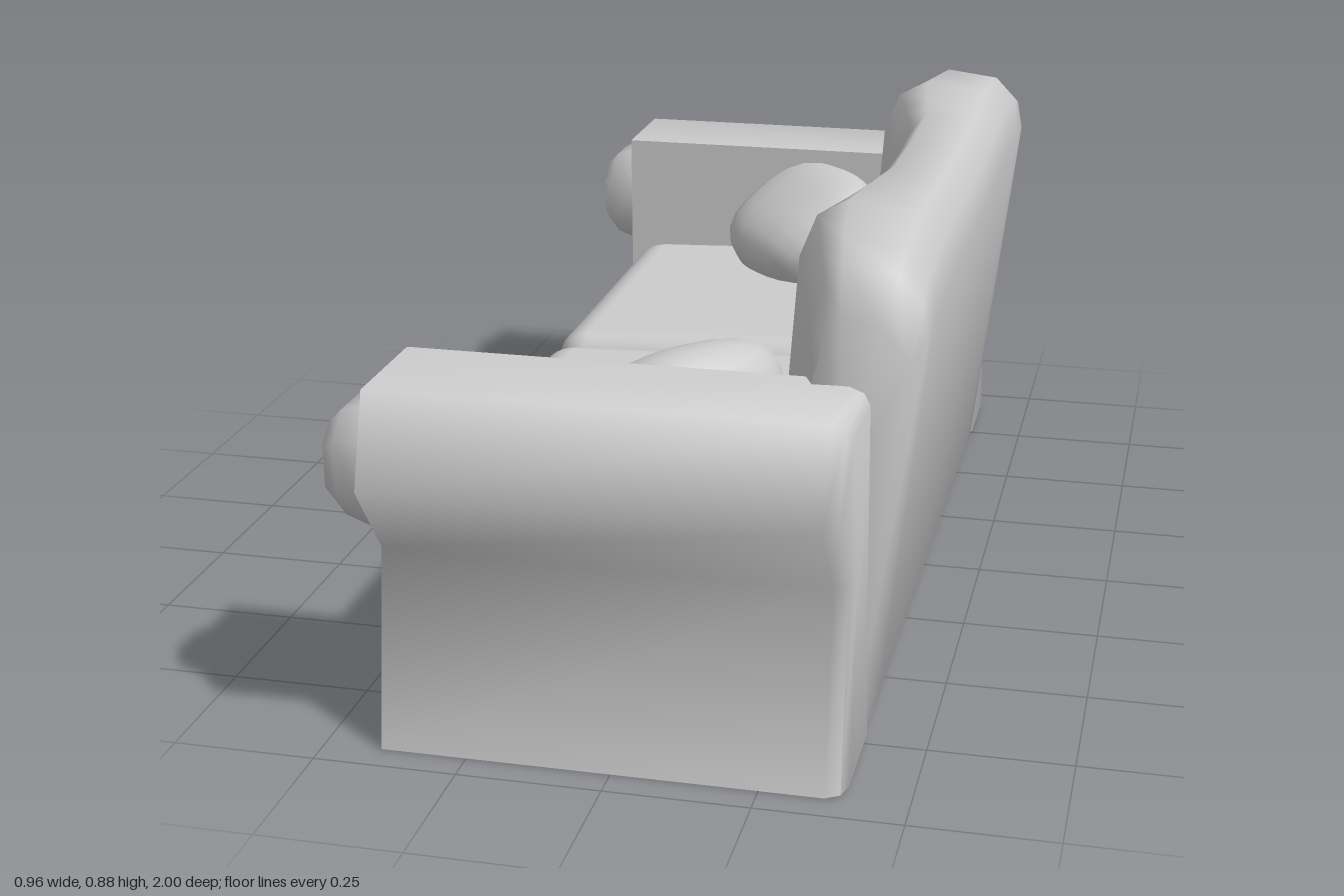
import * as THREE from 'three';
import { toCreasedNormals } from 'three/addons/utils/BufferGeometryUtils.js';
import { RoundedBoxGeometry } from 'three/addons/geometries/RoundedBoxGeometry.js';

const material = new THREE.MeshStandardMaterial({ color: 0xcccccc });

function addPart(parent, name, geometry) {
  const mesh = new THREE.Mesh(geometry, material);
  mesh.name = name;
  parent.add(mesh);
  return mesh;
}

// Skin a row of equal-length closed rings of [x, y, z], with fan caps at both ends
function loft(rings, crease) {
  const n = rings[0].length;
  const points = rings.flat();
  const faces = [];
  for (let r = 0; r < rings.length - 1; r++) {
    for (let i = 0; i < n; i++) {
      const a = r * n + i, b = r * n + (i + 1) % n;
      faces.push([a, b, b + n], [a, b + n, a + n]);
    }
  }
  [0, rings.length - 1].forEach((r) => {
    const centre = [0, 1, 2].map((k) => rings[r].reduce((s, p) => s + p[k], 0) / n);
    const c = points.push(centre) - 1;
    for (let i = 0; i < n; i++) {
      const a = r * n + i, b = r * n + (i + 1) % n;
      faces.push(r === 0 ? [c, b, a] : [c, a, b]);
    }
  });
  // The sign of the volume tells whether the faces point outwards
  const v = points.map((p) => new THREE.Vector3(...p));
  let volume = 0;
  for (const [a, b, c] of faces) volume += v[a].dot(v[b].clone().cross(v[c]));
  if (volume < 0) faces.forEach((f) => f.reverse());
  const geometry = new THREE.BufferGeometry();
  geometry.setAttribute('position', new THREE.Float32BufferAttribute(points.flat(), 3));
  geometry.setIndex(faces.flat());
  return toCreasedNormals(geometry, crease);
}

// Flared arm: a z, y profile run from front to back with a softened rear
function armGeometry(side) {
  const profile = [[0.735, 0], [0.945, 0], [0.895, 0.35], [1, 0.49], [0.95, 0.648], [0.735, 0.648]];
  const stations = [[-0.4, 0], [0.36, 0], [0.385, 0.01], [0.395, 0.03]];
  return loft(stations.map(([x, inset]) => profile.map(([z, y]) => [
    x,
    y + inset * (y < 0.1 ? 0.3 : y > 0.6 ? -1 : 0),
    side * (z - inset * (z < 0.8 ? 0 : 1)),
  ])), 1.4);
}

// Back rest: a leaning x, y profile whose front swells over each seat
function backGeometry() {
  // x, y, share of the front offset
  const profile = [
    [0.2, 0.01, 0], [0.375, 0.003, 0], [0.395, 0.02, 0], [0.48, 0.74, 0], [0.47, 0.82, 0], [0.43, 0.862, 0],
    [0.305, 0.875, 0.5], [0.25, 0.845, 0.9], [0.22, 0.77, 1], [0.195, 0.45, 1], [0.195, 0.25, 1],
  ];
  // z, front offset, drop of the top, inset of the rear
  const half = [
    [0.77, 0.08, 0.11, 0.022], [0.73, 0.068, 0.038, 0], [0.65, 0.045, 0.012, 0],
    [0.47, 0, 0, 0], [0.34, 0.035, 0.002, 0], [0.2, 0.072, 0.007, 0],
  ];
  const stations = [
    ...half, [0, 0.075, 0.01, 0],
    ...half.map(([z, ...rest]) => [-z, ...rest]).reverse(),
  ];
  return loft(stations.map(([z, front, drop, rear]) => profile.map(([x, y, share]) => [
    x + front * share - (x > 0.36 ? rear : 0),
    y > 0.6 ? y - drop * (y > 0.76 ? 1 : 0.4) : y,
    z * (y < 0.2 ? 0.968 : 1),
  ])), 1.3);
}

// Seat cushion: rounded box whose top slopes down towards the front edge
function cushionGeometry() {
  const geometry = new RoundedBoxGeometry(0.65, 0.2, 0.725, 4, 0.06);
  const position = geometry.attributes.position;
  for (let i = 0; i < position.count; i++) {
    const y = position.getY(i);
    if (y > 0) position.setY(i, y - 0.025 * (0.5 - position.getX(i) / 0.65) * (y / 0.1));
  }
  return geometry;
}

// Throw pillow: a sphere pushed towards a rounded square, thin in its own z
function pillowGeometry() {
  const geometry = new THREE.SphereGeometry(1, 20, 14);
  const position = geometry.attributes.position;
  const p = new THREE.Vector3();
  const e = 2.7;
  for (let i = 0; i < position.count; i++) {
    p.fromBufferAttribute(position, i);
    const k = (Math.abs(p.x) ** e + Math.abs(p.y) ** e + Math.abs(p.z) ** e) ** (-1 / e);
    position.setXYZ(i, p.x * k * 0.175, p.y * k * 0.15, p.z * k * 0.09);
  }
  geometry.computeVertexNormals();
  return geometry;
}

// Padded scroll on the front of an arm: stacked rectangles with cut corners
function scrollGeometry(side) {
  const outline = [[1, -0.55], [1, 0.55], [0.5, 1], [-0.5, 1], [-1, 0.55], [-1, -0.55], [-0.5, -1], [0.5, -1]];
  const stations = [[-0.39, 0.095, 0.11], [-0.4, 0.095, 0.11], [-0.455, 0.083, 0.092], [-0.48, 0.065, 0.066]];
  return loft(stations.map(([x, w, h]) => outline.map(([u, v]) => [
    x, 0.5 + h * v, side * (0.863 + w * u),
  ])), 0.9);
}

export function createModel() {
  const sofa = new THREE.Group();
  sofa.name = 'sofa';

  const base = addPart(sofa, 'base', new THREE.BoxGeometry(0.7, 0.27, 1.5));
  base.position.set(0.02, 0.138, 0);
  addPart(sofa, 'backRest', backGeometry());

  for (const side of [1, -1]) {
    const prefix = side > 0 ? 'positiveEnd' : 'negativeEnd';
    addPart(sofa, prefix + 'Arm', armGeometry(side));
    addPart(sofa, prefix + 'ArmScroll', scrollGeometry(side));

    const cushion = addPart(sofa, prefix + 'SeatCushion', cushionGeometry());
    cushion.position.set(-0.045, 0.347, side * 0.368);

    // Pillow reclines in the corner, turned towards the middle
    const pillow = addPart(sofa, prefix + 'Pillow', pillowGeometry());
    pillow.position.set(0.035, 0.522, side * 0.565);
    pillow.rotation.order = 'YXZ';
    pillow.rotation.set(-1, side > 0 ? -Math.PI * 0.74 : -Math.PI * 0.26, 0);
  }
  return sofa;
}
